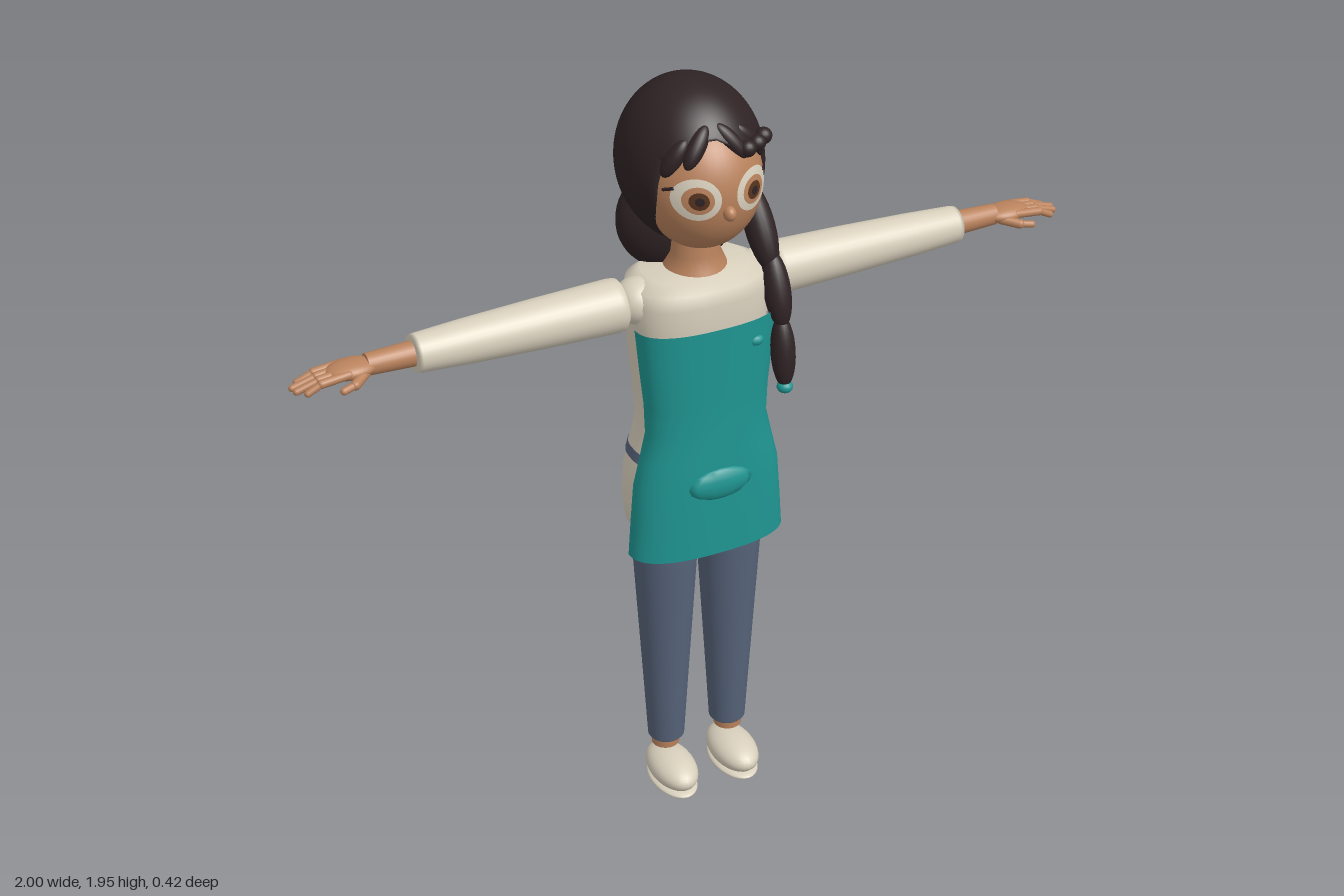
import * as THREE from 'three';

const mat = (name, color) => {
  const m = new THREE.MeshStandardMaterial({ color });
  m.name = name;
  return m;
};

export function createModel() {
  const skin = mat('skin', 0xb9825c), hairMat = mat('darkHair', 0x2e2224);
  const cream = mat('creamCloth', 0xd8cfbc), teal = mat('tealCloth', 0x1f9591);
  const blue = mat('blueGreyCloth', 0x566379), iris = mat('brownIris', 0x55331f);
  blue.side = teal.side = THREE.DoubleSide;
  const model = new THREE.Group();
  model.name = 'apronGirl';

  const add = (parent, name, geo, material) => {
    const mesh = new THREE.Mesh(geo, material);
    mesh.name = name;
    parent.add(mesh);
    return mesh;
  };
  const ball = (parent, name, material, c, r, w = 28, h = 20) =>
    add(parent, name, new THREE.SphereGeometry(1, w, h).scale(...r).translate(...c), material);
  // a capsule, or a pointed oval, reaching from p to q
  const between = (parent, name, material, p, q, r, oval = false) => {
    const a = new THREE.Vector3(...p), b = new THREE.Vector3(...q), len = a.distanceTo(b);
    const geo = oval ? new THREE.SphereGeometry(1, 20, 16).scale(r, len / 2, r)
      : new THREE.CapsuleGeometry(r, len, 6, 14);
    const mesh = add(parent, name, geo, material);
    mesh.position.copy(a).add(b).multiplyScalar(0.5);
    mesh.quaternion.setFromUnitVectors(new THREE.Vector3(0, 1, 0), b.sub(a).normalize());
    return mesh;
  };
  // surface through rounded cross-sections [y, rx, rz, cz], angle 0 at the front
  const loft = (rows, a0 = -Math.PI, a1 = Math.PI, n = 48) => {
    const full = a1 - a0 > 6.28, cols = full ? n : n + 1, pos = [], idx = [];
    const pw = v => Math.sign(v) * Math.abs(v) ** 0.8;
    for (const [y, rx, rz, cz] of rows) for (let j = 0; j < cols; j++) {
      const a = a0 + (a1 - a0) * j / n;
      pos.push(rx * pw(Math.sin(a)), y, cz + rz * pw(Math.cos(a)));
    }
    for (let i = 0; i < rows.length - 1; i++) for (let j = 0; j < n; j++) {
      const k = (j + 1) % cols, a = i * cols + j, b = i * cols + k;
      idx.push(a, b, b + cols, a, b + cols, a + cols);
    }
    const g = new THREE.BufferGeometry();
    g.setAttribute('position', new THREE.Float32BufferAttribute(pos, 3));
    g.setIndex(idx);
    g.computeVertexNormals();
    return g;
  };

  // shirt body with closed hem and shoulders
  add(model, 'shirt', loft([
    [0.81, 0, 0, 0.025], [0.80, 0.155, 0.095, 0.025], [0.815, 0.178, 0.112, 0.025],
    [0.88, 0.186, 0.116, 0.025], [0.96, 0.183, 0.115, 0.025], [1.03, 0.164, 0.108, 0.025],
    [1.10, 0.15, 0.104, 0.025], [1.18, 0.154, 0.108, 0.025], [1.28, 0.165, 0.114, 0.025],
    [1.38, 0.174, 0.118, 0.025], [1.44, 0.178, 0.119, 0.025], [1.475, 0.168, 0.114, 0.023],
    [1.495, 0.13, 0.095, 0.02], [1.505, 0, 0, 0.02]]), cream);

  // apron, wrapping the front half
  add(model, 'apron', loft([
    [0.76, 0.205, 0.093, 0.07], [0.86, 0.198, 0.093, 0.07], [0.96, 0.19, 0.092, 0.07],
    [1.03, 0.173, 0.09, 0.07], [1.10, 0.157, 0.086, 0.07], [1.18, 0.16, 0.086, 0.07],
    [1.28, 0.171, 0.087, 0.07], [1.385, 0.181, 0.088, 0.07]],
  -Math.PI / 2, Math.PI / 2), teal);
  ball(model, 'apronPocket', teal, [0, 0.962, 0.16], [0.084, 0.042, 0.02], 10, 8);
  ball(model, 'apronButton', teal, [0.1, 1.325, 0.143], [0.02, 0.014, 0.014], 12, 8);
  // apron ties at the waist
  for (const s of [-1, 1]) {
    const [a, b] = s > 0 ? [1.15, 2.15] : [-2.15, -1.15];
    add(model, 'apronTie', loft([[1.005, 0.175, 0.114, 0.025], [1.03, 0.168, 0.112, 0.025]], a, b, 16), blue);
  }

  // limbs, built for the left and mirrored
  for (const s of [1, -1]) {
    const side = new THREE.Group();
    side.name = s > 0 ? 'leftLimbs' : 'rightLimbs';
    side.scale.x = s;
    model.add(side);

    const leg = new THREE.LatheGeometry([[0, 0.145], [0.043, 0.14], [0.047, 0.145], [0.056, 0.3],
      [0.068, 0.5], [0.08, 0.7], [0.084, 0.8], [0.08, 0.85]].map(p => new THREE.Vector2(...p)), 32);
    add(side, 'trouserLeg', leg.translate(0.088, 0, 0.032), blue);
    add(side, 'ankle', new THREE.CylinderGeometry(0.037, 0.036, 0.05, 24).translate(0.09, 0.141, 0.032), skin);
    ball(side, 'shoe', cream, [0.088, 0.054, 0.065], [0.059, 0.043, 0.1]);
    ball(side, 'shoeSole', cream, [0.088, 0.018, 0.065], [0.057, 0.015, 0.098]);

    ball(side, 'shoulder', cream, [0.15, 1.435, 0.025], [0.06, 0.057, 0.06]);
    const sleeve = new THREE.LatheGeometry([[0, 0.185], [0.05, 0.19], [0.063, 0.2], [0.065, 0.215],
      [0.06, 0.4], [0.053, 0.58], [0.046, 0.7], [0.044, 0.71], [0, 0.71]].map(p => new THREE.Vector2(...p)), 32);
    add(side, 'sleeve', sleeve.rotateZ(-Math.PI / 2).translate(0, 1.435, 0.024), cream);

    // forearm and hand
    const arm = new THREE.CylinderGeometry(0.026, 0.031, 0.13, 24);
    add(side, 'forearm', arm.rotateZ(-Math.PI / 2).translate(0.755, 1.435, 0.022), skin);
    ball(side, 'palm', skin, [0.855, 1.434, 0.022], [0.062, 0.021, 0.04]);
    [0.975, 0.992, 0.988, 0.968].forEach((tip, i) => {
      const z = -0.006 + i * 0.019;
      between(side, 'fingerBase', skin, [0.87, 1.437, z], [0.935, 1.43, z], 0.0105);
      between(side, 'fingerTip', skin, [0.935, 1.43, z], [tip, 1.414, z], 0.0085);
    });
    between(side, 'thumb', skin, [0.83, 1.428, 0.045], [0.865, 1.422, 0.075], 0.012);
    between(side, 'thumbTip', skin, [0.865, 1.422, 0.075], [0.895, 1.418, 0.083], 0.009);
  }

  // neck and head
  const neck = new THREE.LatheGeometry([[0.085, 1.48], [0.073, 1.505], [0.06, 1.535], [0.057, 1.62]]
    .map(p => new THREE.Vector2(...p)), 28);
  add(model, 'neck', neck.translate(0, 0, 0.02), skin);
  const hc = [0, 1.73, 0.052], hr = [0.143, 0.165, 0.142];
  ball(model, 'head', skin, hc, hr, 40, 32);
  ball(model, 'nose', skin, [0, 1.705, 0.196], [0.015, 0.018, 0.018]);

  // eyes: thin discs laid on the curve of the face
  const faceZ = (x, y) => hc[2] + hr[2] *
    Math.sqrt(Math.max(0, 1 - (x / hr[0]) ** 2 - ((y - hc[1]) / hr[1]) ** 2));
  const disc = (name, x, y, r, off, material) => {
    const g = new THREE.RingGeometry(0.0005, r, 32, 6).translate(x, y, 0), p = g.attributes.position;
    for (let i = 0; i < p.count; i++) p.setZ(i, faceZ(p.getX(i), p.getY(i)) + off);
    g.computeVertexNormals();
    add(model, name, g, material);
  };
  for (const s of [-1, 1]) {
    const x = s * 0.069;
    disc('eyeWhite', x, 1.743, 0.05, 0.003, cream);
    disc('eyeRing', x, 1.743, 0.033, 0.005, skin);
    disc('iris', x, 1.743, 0.021, 0.007, iris);
    disc('pupil', x, 1.743, 0.01, 0.009, hairMat);
    between(model, 'eyelash', hairMat, [s * 0.112, 1.765, faceZ(0.112, 1.765)],
      [s * 0.126, 1.757, faceZ(0.126, 1.757)], 0.004);
  }

  // hair cap, pressed back below the fringe to open the face
  const cap = new THREE.SphereGeometry(1, 96, 96).scale(0.17, 0.199, 0.191).translate(0, 1.757, -0.01);
  const cp = cap.attributes.position;
  for (let i = 0; i < cp.count; i++) {
    const x = cp.getX(i), y = cp.getY(i);
    const fringe = 1.825 + 0.04 * Math.exp(-(((x + 0.02) / 0.05) ** 2));
    const limit = 0.1 - Math.max(0, 1.64 - y) * 1.5;
    if (y < fringe) cp.setZ(i, Math.min(cp.getZ(i), limit));
  }
  cap.computeVertexNormals();
  add(model, 'hairCap', cap, hairMat);
  ball(model, 'hairNape', hairMat, [0, 1.59, -0.068], [0.157, 0.143, 0.092], 36, 28);

  // fringe locks
  const locks = [
    [[-0.02, 1.895, 0.118], [-0.085, 1.81, 0.148], 0.022], [[-0.07, 1.87, 0.12], [-0.125, 1.785, 0.108], 0.022],
    [[0.0, 1.895, 0.12], [0.06, 1.815, 0.158], 0.02], [[0.05, 1.88, 0.12], [0.125, 1.79, 0.108], 0.022]];
  for (const [p, q, r] of locks) between(model, 'fringeLock', hairMat, p, q, r, true);
  for (const [x, z] of [[0.065, 0.155], [0.098, 0.138], [0.127, 0.112]])
    ball(model, 'hairCurl', hairMat, [x, 1.835, z], [0.021, 0.02, 0.02], 16, 12);

  // side braid with its tie
  const braid = [
    [[0.145, 1.67, 0.0], [0.163, 1.47, 0.1], 0.037], [[0.166, 1.52, 0.085], [0.17, 1.34, 0.145], 0.033],
    [[0.17, 1.37, 0.135], [0.167, 1.19, 0.166], 0.03]];
  for (const [p, q, r] of braid) between(model, 'braidStrand', hairMat, p, q, r, true);
  ball(model, 'braidTie', teal, [0.167, 1.192, 0.166], [0.02, 0.016, 0.02], 16, 12);
  return model;
}
